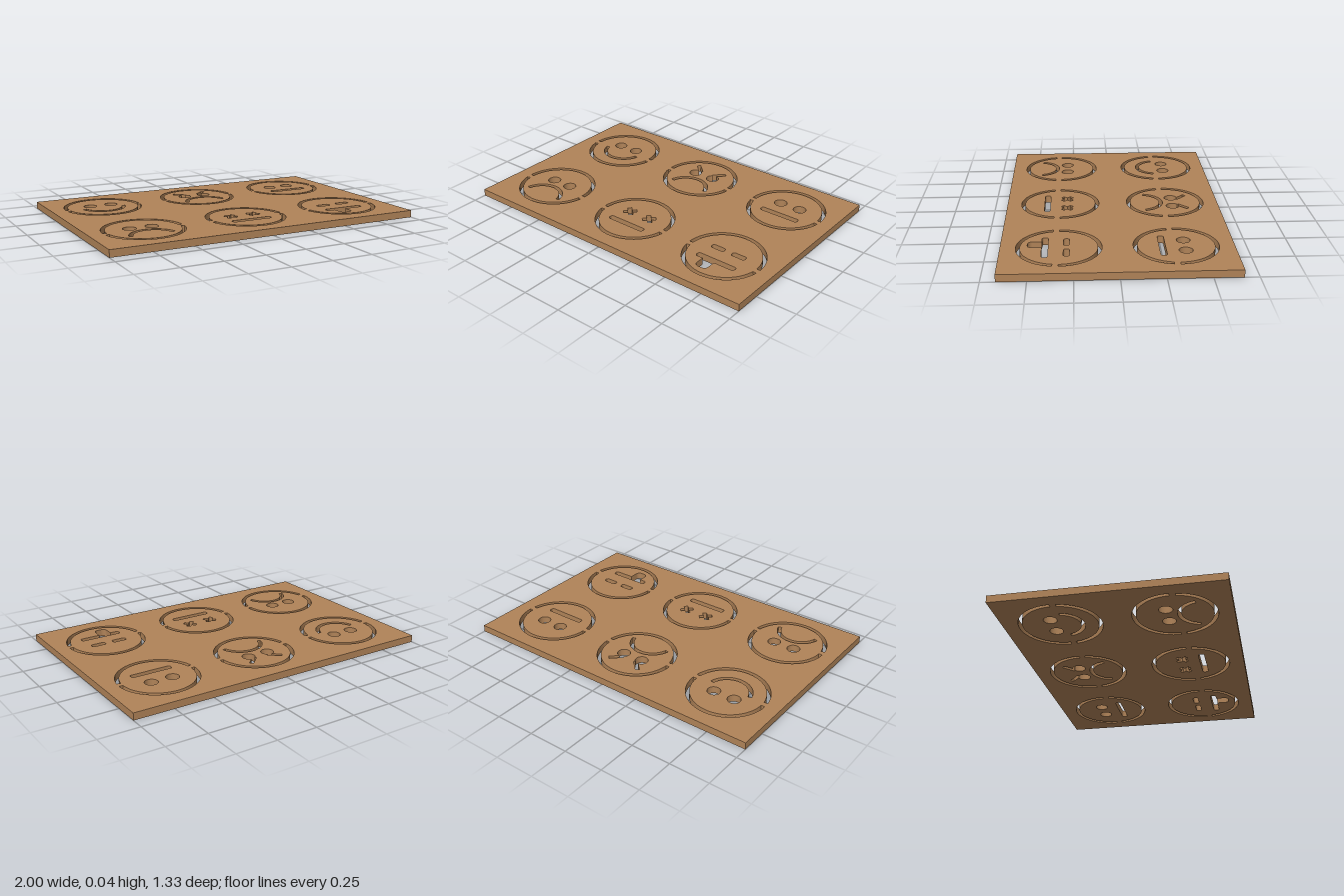
import * as THREE from 'three';

const THICK = 0.044;

// All cut-outs are drawn in (x, z) around a face centre, with z towards the front.

function arcBand(cx, cz, inner, outer, from, to) {
  const p = new THREE.Path();
  p.absarc(cx, cz, outer, from, to, false);
  p.absarc(cx, cz, inner, to, from, true);
  p.closePath();
  return p;
}

function disc(cx, cz, r) {
  const p = new THREE.Path();
  p.absarc(cx, cz, r, 0, Math.PI * 2, false);
  return p;
}

// Bar with rounded corners
function bar(x0, x1, cz, half, r = 0.013) {
  const p = new THREE.Path();
  p.absarc(x1 - r, cz - half + r, r, -Math.PI / 2, 0, false);
  p.absarc(x1 - r, cz + half - r, r, 0, Math.PI / 2, false);
  p.absarc(x0 + r, cz + half - r, r, Math.PI / 2, Math.PI, false);
  p.absarc(x0 + r, cz - half + r, r, Math.PI, Math.PI * 1.5, false);
  p.closePath();
  return p;
}

// Round eye joined to a slanted brow; side -1 or 1 mirrors it
function angryEye(side) {
  const points = [[-0.051, -0.085], [-0.034, -0.102], [0.030, -0.041]];
  for (let i = 0; i <= 40; i++) {
    const a = -0.973 + (i / 40) * 5.583;
    points.push([0.04 * Math.cos(a), 0.04 * Math.sin(a)]);
  }
  return new THREE.Path(points.map(([x, z]) =>
    new THREE.Vector2(-side * (x - 0.069), z - 0.043)));
}

// Diagonal cross
function crossEye(cx, cz, length = 0.042, w = 0.0135) {
  const points = [];
  for (let i = 0; i < 4; i++) {
    const a = Math.PI / 4 + i * Math.PI / 2;
    for (const [u, v] of [[length, -w], [length, w], [w, w]]) {
      points.push(new THREE.Vector2(
        cx + u * Math.cos(a) - v * Math.sin(a),
        cz + u * Math.sin(a) + v * Math.cos(a)));
    }
  }
  return new THREE.Path(points);
}

// Straight mouth with a tongue hanging from it
function tongueMouth() {
  const top = 0.062, low = 0.098, tip = 0.18, x = 0.131, r = 0.013, t = 0.028;
  const p = new THREE.Path();
  p.absarc(x - r, top + r, r, -Math.PI / 2, 0, false);
  p.absarc(x - r, low - r, r, 0, Math.PI / 2, false);
  p.lineTo(0, low);
  p.absarc(-t, tip - t, t, 0, Math.PI / 2, false);
  p.absarc(-0.078 + t, tip - t, t, Math.PI / 2, Math.PI, false);
  p.lineTo(-0.078, low);
  p.absarc(-x + r, low - r, r, Math.PI / 2, Math.PI, false);
  p.absarc(-x + r, top + r, r, Math.PI, Math.PI * 1.5, false);
  p.closePath();
  return p;
}

const roundEyes = (z = -0.043) => [disc(-0.069, z, 0.04), disc(0.069, z, 0.04)];
const smile = () => arcBand(0, 0, 0.12, 0.143, 0.2, Math.PI - 0.2);
const frown = () => arcBand(0, 0.157, 0.12, 0.143, Math.PI + 0.2, Math.PI * 2 - 0.2);
const flatMouth = () => bar(-0.131, 0.131, 0.08, 0.018);

// Outline ring in two halves, leaving bridges that hold the face in place
const outline = () => [
  arcBand(0, 0, 0.222, 0.245, Math.PI, Math.PI * 2),
  arcBand(0, 0, 0.222, 0.245, 0.15, Math.PI - 0.15),
];

export function createModel() {
  const wood = new THREE.MeshStandardMaterial({ color: 0xb08358 });
  wood.name = 'wood brown';

  const plate = new THREE.Shape([
    new THREE.Vector2(-1, -0.667), new THREE.Vector2(1, -0.667),
    new THREE.Vector2(1, 0.667), new THREE.Vector2(-1, 0.667),
  ]);

  // Back row, then front row, from -x to +x
  const faces = [
    [...roundEyes(), smile()],
    [angryEye(-1), angryEye(1), frown()],
    [...roundEyes(-0.048), flatMouth()],
    [...roundEyes(), frown()],
    [crossEye(-0.076, -0.044), crossEye(0.076, -0.044), flatMouth()],
    [bar(-0.115, -0.025, -0.043, 0.0175), bar(0.026, 0.118, -0.043, 0.0175), tongueMouth()],
  ];

  // Place each face's cut-outs as holes in the plate
  faces.forEach((features, i) => {
    const cx = (i % 3 - 1) * 0.667;
    const cz = i < 3 ? -0.333 : 0.333;
    for (const path of [...outline(), ...features]) {
      const points = path.getPoints(32).map((p) => new THREE.Vector2(p.x + cx, p.y + cz));
      plate.holes.push(new THREE.Path(points));
    }
  });

  // Lay the extrusion flat: shape y becomes z, depth runs down from the top
  const geometry = new THREE.ExtrudeGeometry(plate, { depth: THICK, bevelEnabled: false });
  geometry.rotateX(Math.PI / 2).translate(0, THICK, 0);

  const stencil = new THREE.Mesh(geometry, wood);
  stencil.name = 'stencilPlate';

  const group = new THREE.Group();
  group.name = 'faceStencil';
  group.add(stencil);
  return group;
}
